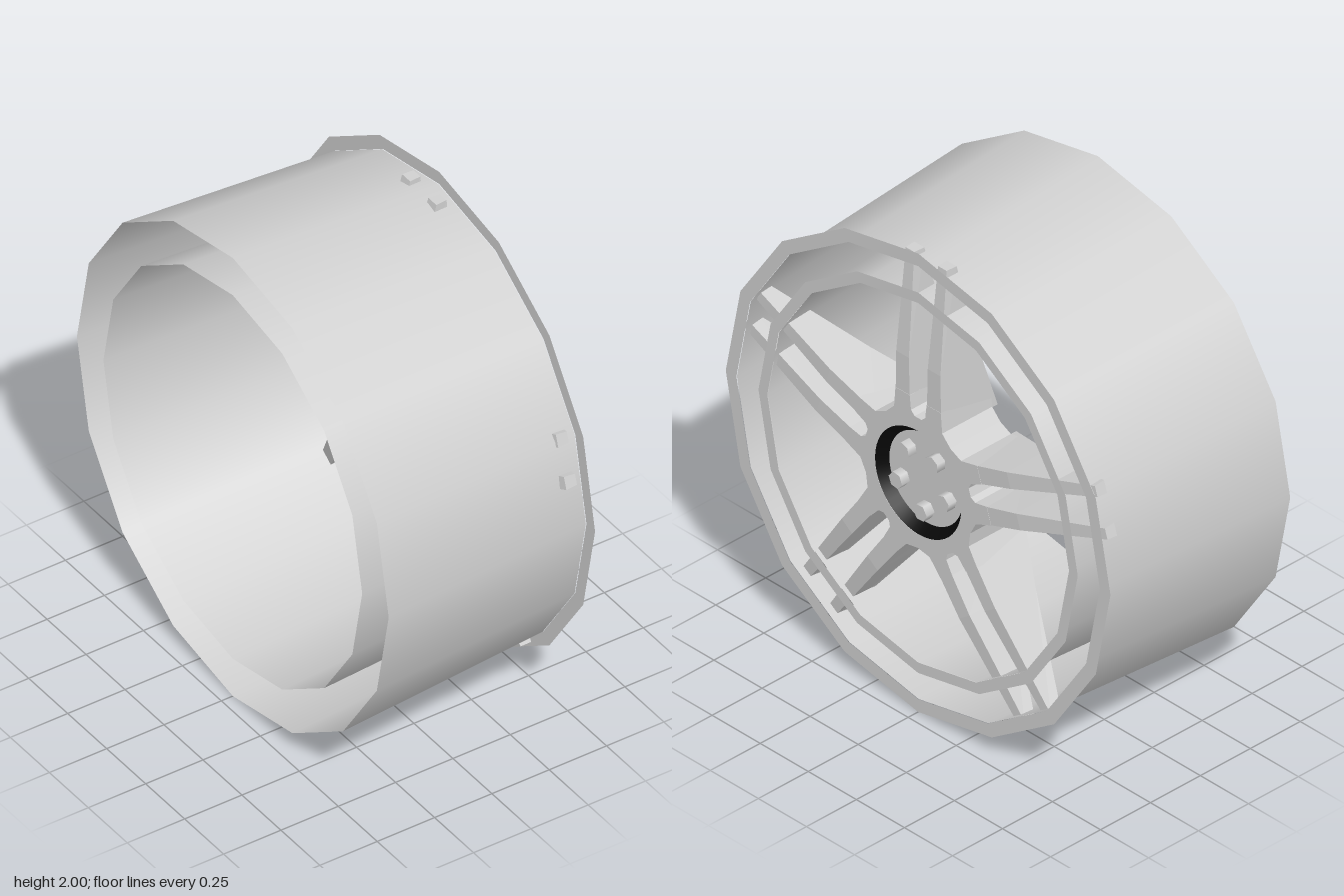
import * as THREE from 'three';

const SIDES = 16, FRONT = 0.45, BACK = -0.45;

export function createModel() {
  const silver = new THREE.MeshStandardMaterial({ color: 0xd0d0d0 });
  silver.name = 'silver';
  silver.side = THREE.DoubleSide;
  const black = new THREE.MeshStandardMaterial({ color: 0x080808 });
  black.name = 'black';
  black.side = THREE.DoubleSide;

  // The wheel is built with its axle along local z, then turned to face +x
  const wheel = new THREE.Group();
  wheel.name = 'wheel';
  const add = (name, geometry, material = silver, parent = wheel) => {
    const mesh = new THREE.Mesh(geometry, material);
    mesh.name = name;
    parent.add(mesh);
    return mesh;
  };
  const drum = (rFront, rBack, zFront, zBack, sides, open) =>
    new THREE.CylinderGeometry(rFront, rBack, zFront - zBack, sides, 1, open)
      .rotateX(Math.PI / 2).translate(0, 0, (zFront + zBack) / 2);

  // Tapered outer and inner walls, each with a flat lip at the front
  for (const [name, r] of [['outer', 1], ['inner', 0.83]]) {
    add(name + 'Barrel', drum(r * 0.945, r, FRONT - 0.003, BACK, SIDES, true));
    add(name + 'Lip', new THREE.RingGeometry(r * 0.945, r, SIDES).translate(0, 0, FRONT));
  }

  // Hub plate: five webbed arms, slotted between the spokes of each pair
  const arm = [[0.285, -0.05], [0.36, -0.118], [0.36, -0.044], [0.3, -0.037], [0.282, -0.018],
    [0.282, 0.018], [0.3, 0.037], [0.36, 0.044], [0.36, 0.118]];
  arm[0] = [0.285 * Math.cos(0.63), -0.285 * Math.sin(0.63)];
  arm.splice(1, 0, [0.275, -0.125]);
  arm.push([0.275, 0.125]);
  const outline = [];
  for (let i = 0; i < 5; i++) {
    const a = Math.PI / 2 + i * Math.PI * 0.4;
    for (const [t, s] of arm) {
      outline.push(new THREE.Vector2(t * Math.cos(a) - s * Math.sin(a), t * Math.sin(a) + s * Math.cos(a)));
    }
  }
  const plate = new THREE.Shape(outline);
  plate.holes.push(new THREE.Path().absarc(0, 0, 0.225, 0, Math.PI * 2, true));
  add('hub', new THREE.ExtrudeGeometry(plate, { depth: 0.25, bevelEnabled: false, curveSegments: 24 })
    .translate(0, 0, FRONT - 0.25));

  // Recessed centre with a black sloping surround
  add('hubCentre', drum(0.225, 0.225, 0.41, 0.2, 32, false));
  add('hubSurround', drum(0.226, 0.19, FRONT, 0.409, 48, true), black);

  // Hexagonal bolts
  for (let i = 0; i < 5; i++) {
    const a = THREE.MathUtils.degToRad(58 + 72 * i);
    const bolt = add('bolt', drum(0.035, 0.035, FRONT, 0.4, 6, false));
    bolt.position.set(0.128 * Math.cos(a), 0.128 * Math.sin(a), 0);
    bolt.rotation.z = a;
  }

  // Spoke stations: distance, sideways centre, half width, front and back depth
  const stations = [
    [0.27, 0.081, 0.038, 0.449, 0.17],
    [0.52, 0.082, 0.033, 0.449, 0.25],
    [0.957, 0.084, 0.022, 0.41, 0.363],
  ];
  const spokeGeometry = (side) => {
    const g = new THREE.BoxGeometry(1, 1, 1, 1, 2, 1).toNonIndexed();
    const p = g.attributes.position;
    for (let i = 0; i < p.count; i++) {
      const [t, c, half, front, back] = stations[Math.round(p.getY(i) * 2 + 1)];
      const isFront = p.getZ(i) > 0;
      const w = half + (isFront ? 0 : 0.004);
      p.setXYZ(i, side * c + Math.sign(p.getX(i)) * w, t, isFront ? front : back);
    }
    g.computeVertexNormals();
    return g;
  };
  const pairGeometry = [spokeGeometry(-1), spokeGeometry(1)];
  for (let i = 0; i < 5; i++) {
    const pair = new THREE.Group();
    pair.name = 'spokePair';
    pair.rotation.z = i * Math.PI * 0.4;
    pairGeometry.forEach((g) => add('spoke', g, silver, pair));
    wheel.add(pair);
  }

  wheel.rotation.y = Math.PI / 2;
  wheel.position.y = 1;
  const model = new THREE.Group();
  model.name = 'wheelRim';
  model.add(wheel);
  return model;
}
